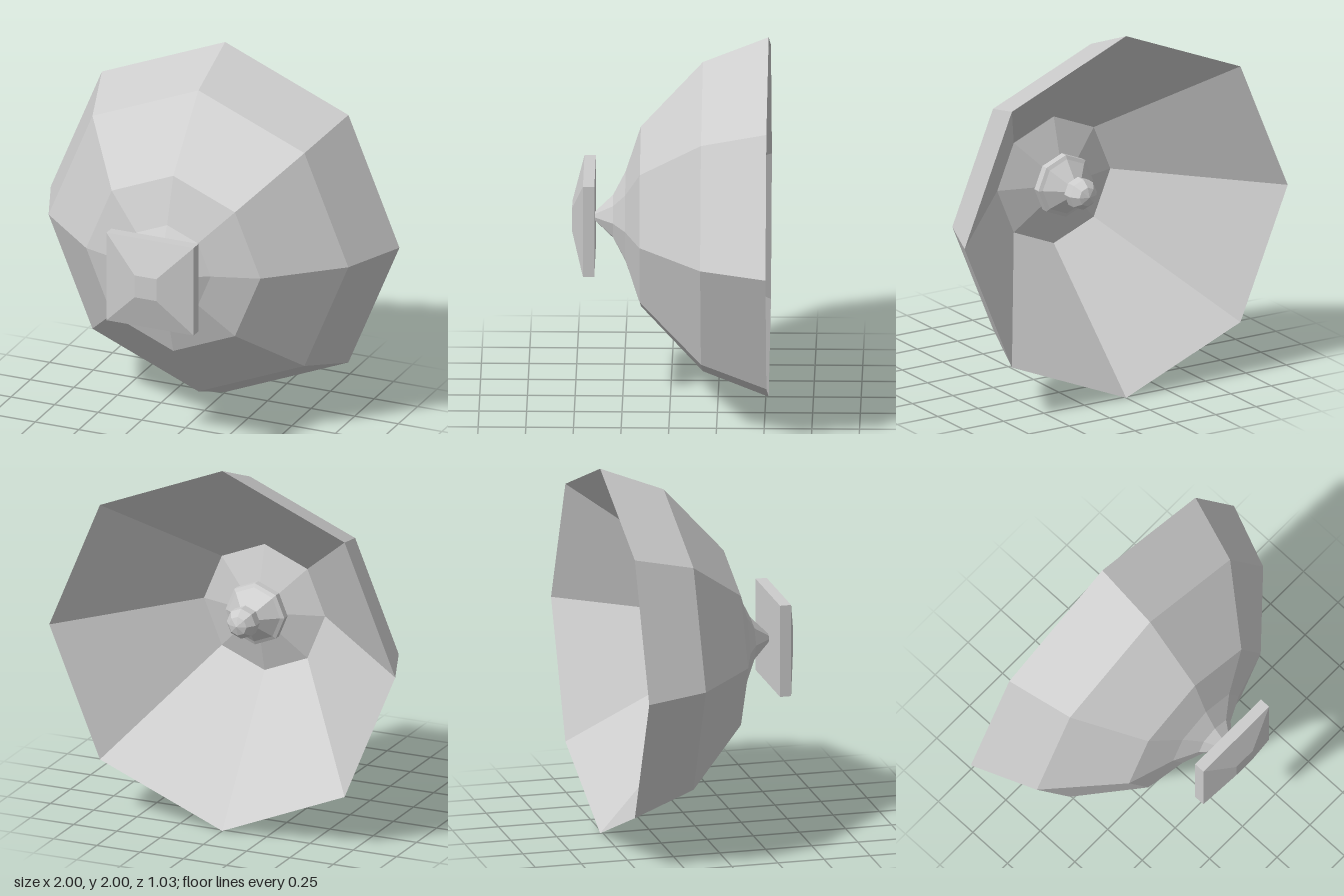
import * as THREE from 'three';

const material = new THREE.MeshStandardMaterial({ color: 0xcccccc, flatShading: true, side: THREE.DoubleSide });

// Skin through regular polygon rings [radius, z, x, y]; normals point outward when z increases
function loft(name, rings, sides = 8, phase = 0) {
  const positions = [], index = [];
  for (const [r, z, x = 0, y = 0] of rings) {
    for (let j = 0; j < sides; j++) {
      const a = phase + (j / sides) * Math.PI * 2;
      positions.push(x + r * Math.cos(a), y + r * Math.sin(a), z);
    }
  }
  for (let i = 0; i < rings.length - 1; i++) {
    for (let j = 0; j < sides; j++) {
      const k = (j + 1) % sides;
      const a = i * sides + j, b = i * sides + k, c = b + sides, d = a + sides;
      if (rings[i][0] > 0) index.push(a, b, c);
      if (rings[i + 1][0] > 0) index.push(a, c, d);
      else if (rings[i][0] > 0) continue;
    }
  }
  const geometry = new THREE.BufferGeometry();
  geometry.setAttribute('position', new THREE.Float32BufferAttribute(positions, 3));
  geometry.setIndex(index);
  geometry.computeVertexNormals();
  const mesh = new THREE.Mesh(geometry, material);
  mesh.name = name;
  return mesh;
}

export function createModel() {
  const lamp = new THREE.Group();
  lamp.name = 'lamp';
  lamp.position.y = 1;

  // Faceted bell with a tapering neck
  lamp.add(loft('outerShade', [
    [1, -0.515], [0.86, -0.17], [0.5, 0.155], [0.25, 0.235], [0.12, 0.30], [0.02, 0.40],
  ]));

  // Straight inner cone, running to the slightly offset socket
  const ox = 0.05, oy = 0.035;
  lamp.add(loft('innerShade', [[0.35, 0.12, ox, oy], [1, -0.515]]));

  // Socket and bulb facing out of the open end
  const fitting = new THREE.Group();
  fitting.name = 'bulbFitting';
  fitting.position.set(ox, oy, 0);
  fitting.add(loft('socket', [
    [0, -0.09], [0.05, -0.09], [0.15, -0.01], [0.17, 0.0], [0.17, 0.04], [0.14, 0.06], [0.35, 0.12],
  ]));
  const bulb = new THREE.Mesh(new THREE.SphereGeometry(0.088, 8, 5), material);
  bulb.name = 'bulb';
  bulb.rotation.x = Math.PI / 2;
  bulb.position.z = -0.145;
  fitting.add(bulb);
  lamp.add(fitting);

  // Square mounting plate with a bevelled front
  const half = 0.25 * Math.SQRT2, tip = 0.0625 * Math.SQRT2;
  lamp.add(loft('mountingPlate', [
    [0, 0.395], [half, 0.395], [half, 0.455], [tip, 0.515], [0, 0.515],
  ], 4, Math.PI / 4));

  const model = new THREE.Group();
  model.name = 'model';
  model.add(lamp);
  return model;
}
